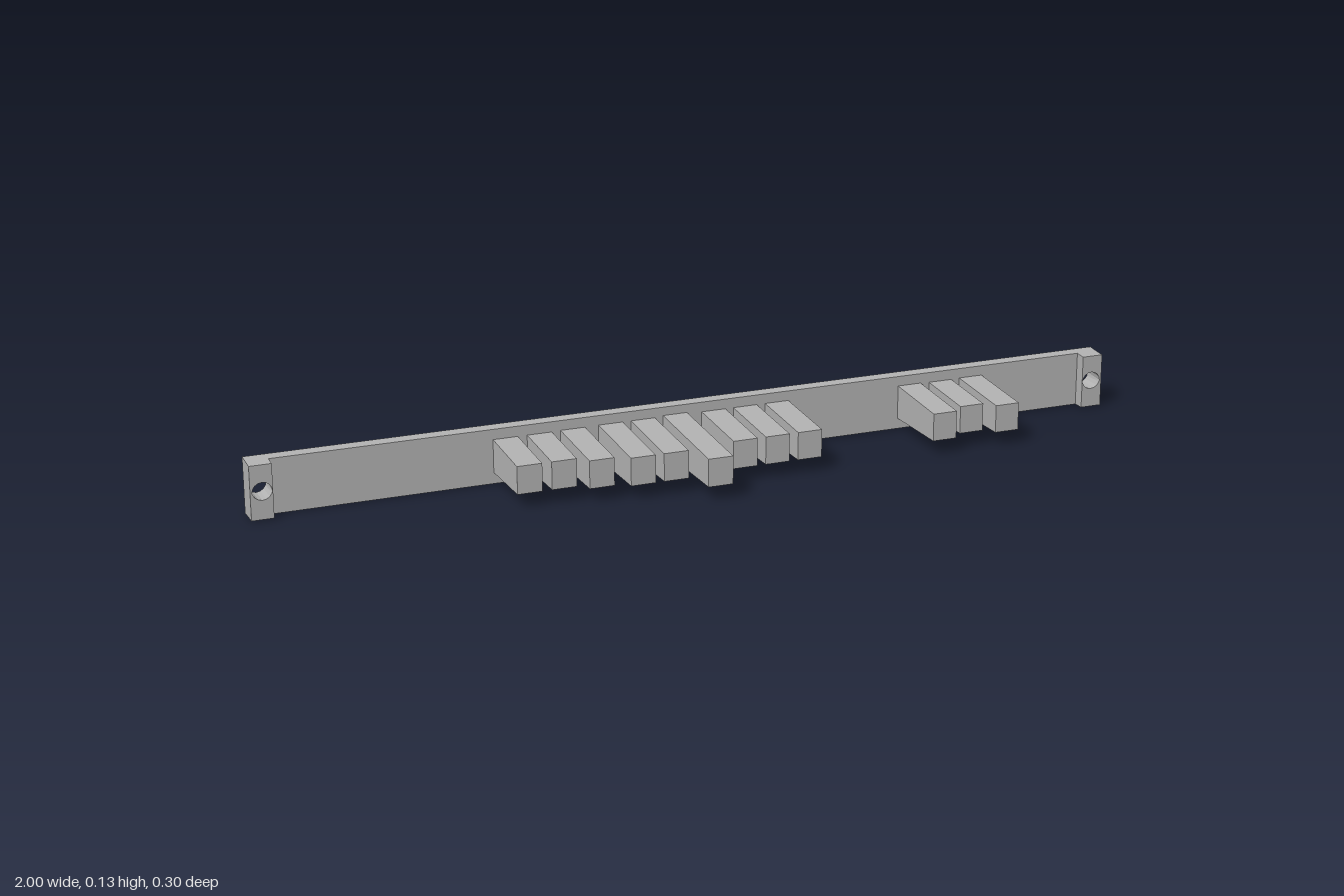
import * as THREE from 'three';

const MID_Y = 0.063;      // height of the centre line
const DRAFT = 0.0375;     // mould taper per unit of depth
const BACK = -0.149, PLATE_FRONT = -0.12, TAB_FRONT = -0.092;

// Narrow a geometry in height towards +z, starting from the plane z0
function taper(geometry, z0) {
  const p = geometry.attributes.position;
  for (let i = 0; i < p.count; i++) {
    const dy = p.getY(i) - MID_Y;
    p.setY(i, MID_Y + dy - Math.sign(dy) * DRAFT * (p.getZ(i) - z0));
  }
  geometry.computeVertexNormals();
  return geometry;
}

// Rectangular slab in the xy plane with round screw holes, running from z0 to z1
function slab(x0, x1, z0, z1, holes) {
  const shape = new THREE.Shape([
    new THREE.Vector2(x0, 0), new THREE.Vector2(x1, 0),
    new THREE.Vector2(x1, 2 * MID_Y), new THREE.Vector2(x0, 2 * MID_Y),
  ]);
  for (const x of holes) {
    shape.holes.push(new THREE.Path().absarc(x, MID_Y + 0.002, 0.022, 0, Math.PI * 2, true));
  }
  const g = new THREE.ExtrudeGeometry(shape, { depth: z1 - z0, bevelEnabled: false, curveSegments: 8 });
  g.translate(0, 0, z0);
  return taper(g, BACK);
}

export function createModel() {
  const model = new THREE.Group();
  const grey = new THREE.MeshStandardMaterial({ color: 0xb3b3b3 });
  grey.name = 'grey plastic';

  const add = (name, geometry) => {
    const mesh = new THREE.Mesh(geometry, grey);
    mesh.name = name;
    model.add(mesh);
  };

  // Long backing bar with a screw hole at each end
  add('backPlate', slab(-1, 1, BACK, PLATE_FRONT, [-0.974, 0.974]));

  // Raised mounting pads around the holes
  add('leftEndPad', slab(0.951, 1, PLATE_FRONT, TAB_FRONT, [0.974]));
  add('rightEndPad', slab(-1, -0.951, PLATE_FRONT, TAB_FRONT, [-0.974]));

  // Tapered fingers: [centre x, front z]
  const fingers = [
    [-0.433, 0.042], [-0.356, 0.042], [-0.28, 0.066],
    [-0.193, 0.083], [-0.118, 0.083], [-0.043, 0.15],
    [0.048, 0.066], [0.123, 0.066], [0.199, 0.066],
    [0.524, 0.066], [0.601, 0.042], [0.677, 0.066],
  ];
  fingers.forEach(([x, front], i) => {
    const depth = front - PLATE_FRONT;
    const g = new THREE.BoxGeometry(0.056, 0.063, depth);
    g.translate(x, MID_Y + 0.001, front - depth / 2);
    add(`finger${i + 1}`, taper(g, front));
  });

  return model;
}
